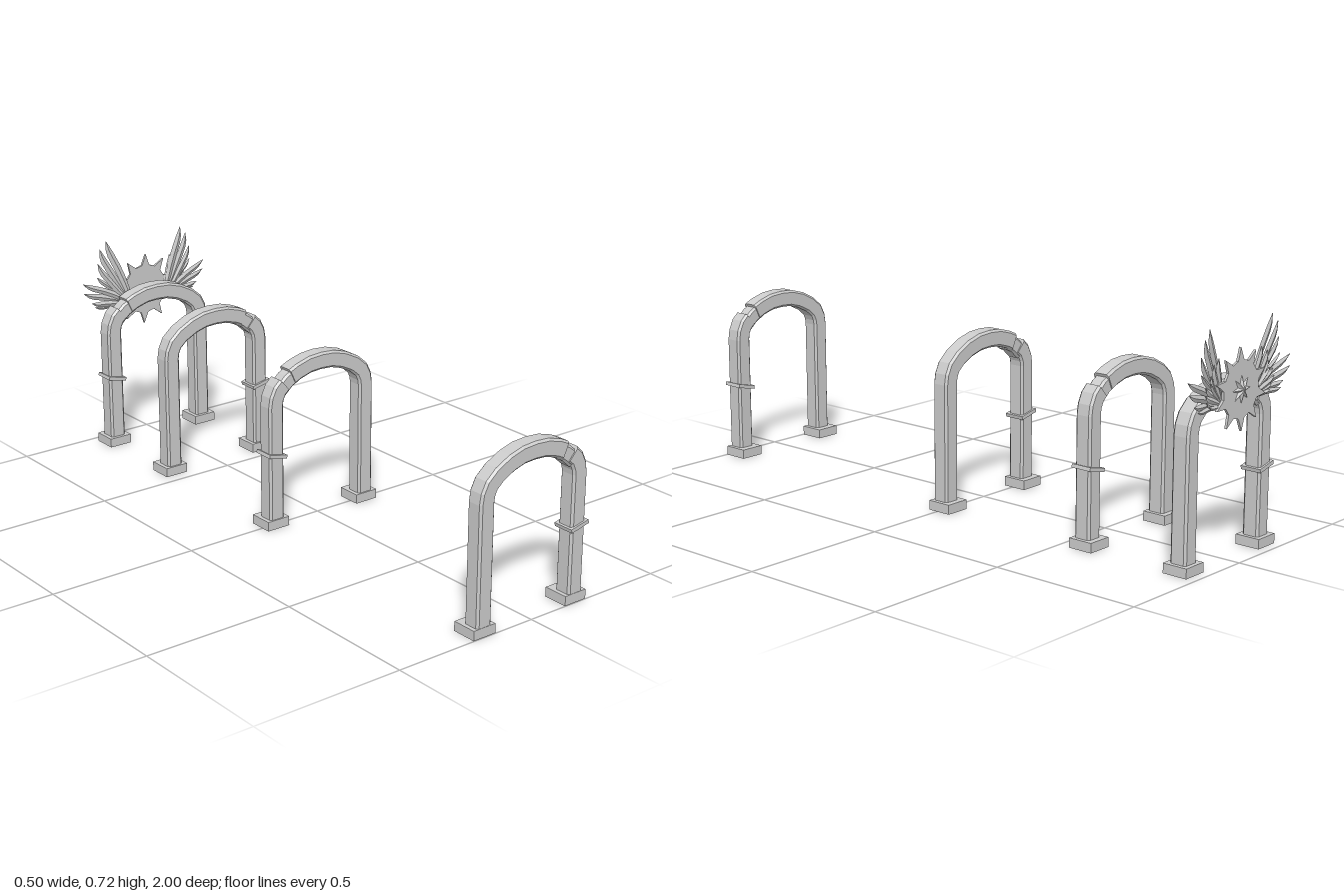
import * as THREE from 'three';

const V = (x, y, z = 0) => new THREE.Vector3(x, y, z);
const mat = new THREE.MeshStandardMaterial({ color: 0xcccccc, flatShading: true });

function add(parent, name, geo, x = 0, y = 0, z = 0) {
  const m = new THREE.Mesh(geo, mat);
  m.name = name;
  m.position.set(x, y, z);
  parent.add(m);
  return m;
}

// Skin a list of rings (counter-clockwise about the direction of travel), with end caps
function loft(rings) {
  const pos = [], n = rings[0].length;
  const tri = (...p) => p.forEach(v => pos.push(v.x, v.y, v.z));
  for (let i = 0; i < rings.length - 1; i++) {
    for (let k = 0; k < n; k++) {
      const j = (k + 1) % n;
      const a = rings[i][k], b = rings[i][j], c = rings[i + 1][j], d = rings[i + 1][k];
      tri(a, b, c);
      tri(a, c, d);
    }
  }
  const first = rings[0], last = rings[rings.length - 1];
  for (let k = 1; k < n - 1; k++) {
    tri(first[0], first[k + 1], first[k]);
    tri(last[0], last[k], last[k + 1]);
  }
  const g = new THREE.BufferGeometry();
  g.setAttribute('position', new THREE.Float32BufferAttribute(pos, 3));
  g.computeVertexNormals();
  return g;
}

// Chamfered rectangular beam along a path in the xy plane; shift moves it sideways
function beam(path, width, depth, shift = 0) {
  const w = width / 2, d = depth / 2, c = 0.007;
  const section = [[w, -d + c], [w, d - c], [w - c, d], [-w + c, d],
    [-w, d - c], [-w, -d + c], [-w + c, -d], [w - c, -d]];
  return loft(path.map((p, i) => {
    const a = path[Math.max(i - 1, 0)], b = path[Math.min(i + 1, path.length - 1)];
    const t = b.clone().sub(a).normalize(), n = V(-t.y, t.x);
    return section.map(([u, v]) => p.clone().addScaledVector(n, u + shift).setZ(v));
  }));
}

// One arch: long leg with crown, recessed neck, short leg, tilted band and two plinths
function makeArch(baseShift) {
  const g = new THREE.Group();
  g.name = 'arch';
  const half = [[-0.181, 0.02], [-0.181, 0.41], [-0.177, 0.435], [-0.165, 0.46], [-0.135, 0.486],
    [-0.09, 0.509], [-0.045, 0.522], [0, 0.525]];
  const crown = [...half, [0.045, 0.522], [0.09, 0.509], [0.116, 0.497]];
  const leg = [[0.147, 0.476], [0.165, 0.46], [0.177, 0.435], [0.181, 0.41], [0.181, 0.02]];
  const pts = list => list.map(([x, y]) => V(x, y));
  add(g, 'legAndCrown', beam(pts(crown), 0.056, 0.057));
  add(g, 'neck', beam(pts([[0.1, 0.505], [0.13, 0.49], [0.162, 0.462]]), 0.05, 0.049, -0.007));
  add(g, 'shortLeg', beam(pts(leg), 0.056, 0.057));
  add(g, 'band', new THREE.BoxGeometry(0.07, 0.012, 0.07), 0.181, 0.246).rotation.z = 0.22;
  for (const s of [-1, 1]) {
    add(g, 'plinth', new THREE.BoxGeometry(0.083, 0.031, 0.083), s * 0.181, 0.0155, baseShift);
  }
  return g;
}

// Feather: diamond section along a curve that marks its upper edge
function feather(s, root, ctrl, tip, w, len, z0, z1) {
  const curve = new THREE.QuadraticBezierCurve3(
    V(s * root[0], root[1], z0), V(s * ctrl[0], ctrl[1], (z0 + z1) / 2), V(s * tip[0], tip[1], z1));
  const profile = [[0, 0.6], [0.2, 0.8], [0.4, 0.95], [0.6, 1], [0.8, 0.95], [0.9, 0.7], [1, 0.08]];
  return loft(profile.map(([t, k]) => {
    const p = curve.getPoint(t * len), d = curve.getTangent(t * len);
    const n = V(-d.y, d.x).normalize(), h = w * k, th = 0.0015 + 0.0035 * k;
    p.addScaledVector(n, -s * h);
    return [p.clone().addScaledVector(n, h), p.clone().add(V(0, 0, th)),
      p.clone().addScaledVector(n, -h), p.clone().add(V(0, 0, -th))];
  }));
}

function makeWing(s) {
  const g = new THREE.Group();
  g.name = s > 0 ? 'leftWing' : 'rightWing';
  // root, control, tip, half width
  const feathers = [
    [[0.065, 0.5], [0.085, 0.61], [0.154, 0.718], 0.014],
    [[0.07, 0.495], [0.12, 0.6], [0.178, 0.692], 0.013],
    [[0.073, 0.49], [0.13, 0.57], [0.19, 0.643], 0.011],
    [[0.073, 0.49], [0.135, 0.56], [0.193, 0.594], 0.008],
    [[0.07, 0.49], [0.14, 0.555], [0.252, 0.581], 0.011],
    [[0.07, 0.488], [0.15, 0.535], [0.249, 0.546], 0.011],
    [[0.07, 0.486], [0.15, 0.515], [0.22, 0.506], 0.01],
    [[0.07, 0.484], [0.14, 0.5], [0.206, 0.488], 0.008],
  ];
  feathers.forEach(([root, ctrl, tip, w], i) => {
    const z = -0.964 - (i % 2) * 0.003;
    add(g, 'feather', feather(s, root, ctrl, tip, w, 1, z, z - 0.019));
    add(g, 'covert', feather(s, root, ctrl, tip, w * 0.85, 0.58, z - 0.007, z - 0.026));
  });
  // Shoulder joining the feathers to the sun
  add(g, 'shoulder', new THREE.SphereGeometry(1, 10, 6), s * 0.07, 0.492, -0.972)
    .scale.set(0.03, 0.022, 0.011);
  return g;
}

function makeSun() {
  const g = new THREE.Group();
  g.name = 'sun';
  g.position.set(-0.001, 0.519, 0);
  // Disc with ten spikes
  const pts = [];
  for (let i = 0; i < 10; i++) {
    const a = (87 + 36 * i) * Math.PI / 180;
    for (const [da, r] of [[-0.17, 0.087], [0, 0.125], [0.17, 0.087]]) {
      pts.push(new THREE.Vector2(Math.cos(a + da) * r, Math.sin(a + da) * r));
    }
  }
  const disc = new THREE.ExtrudeGeometry(new THREE.Shape(pts), { depth: 0.008, bevelEnabled: false });
  add(g, 'disc', disc, 0, 0, -0.988);
  // Raised faceted star on the back
  const star = (k, z) => Array.from({ length: 16 }, (_, i) => {
    const a = -i * Math.PI / 8, r = k * (i % 2 ? 0.022 : 0.05);
    return V(Math.cos(a) * r, Math.sin(a) * r, z);
  });
  add(g, 'centreStar', loft([star(1, -0.986), star(0.05, -1)]));
  return g;
}

export function createModel() {
  const model = new THREE.Group();
  model.name = 'archway';
  // z position, plinth offset, whether the band sits on the other side
  const arches = [[0.969, -0.012, false], [-0.001, -0.008, true],
    [-0.576, -0.006, false], [-0.929, -0.001, true]];
  for (const [z, shift, flip] of arches) {
    const arch = makeArch(flip ? -shift : shift);
    arch.position.set(-0.001, 0, z);
    if (flip) arch.rotation.y = Math.PI;
    model.add(arch);
  }
  model.add(makeSun(), makeWing(1), makeWing(-1));
  return model;
}
